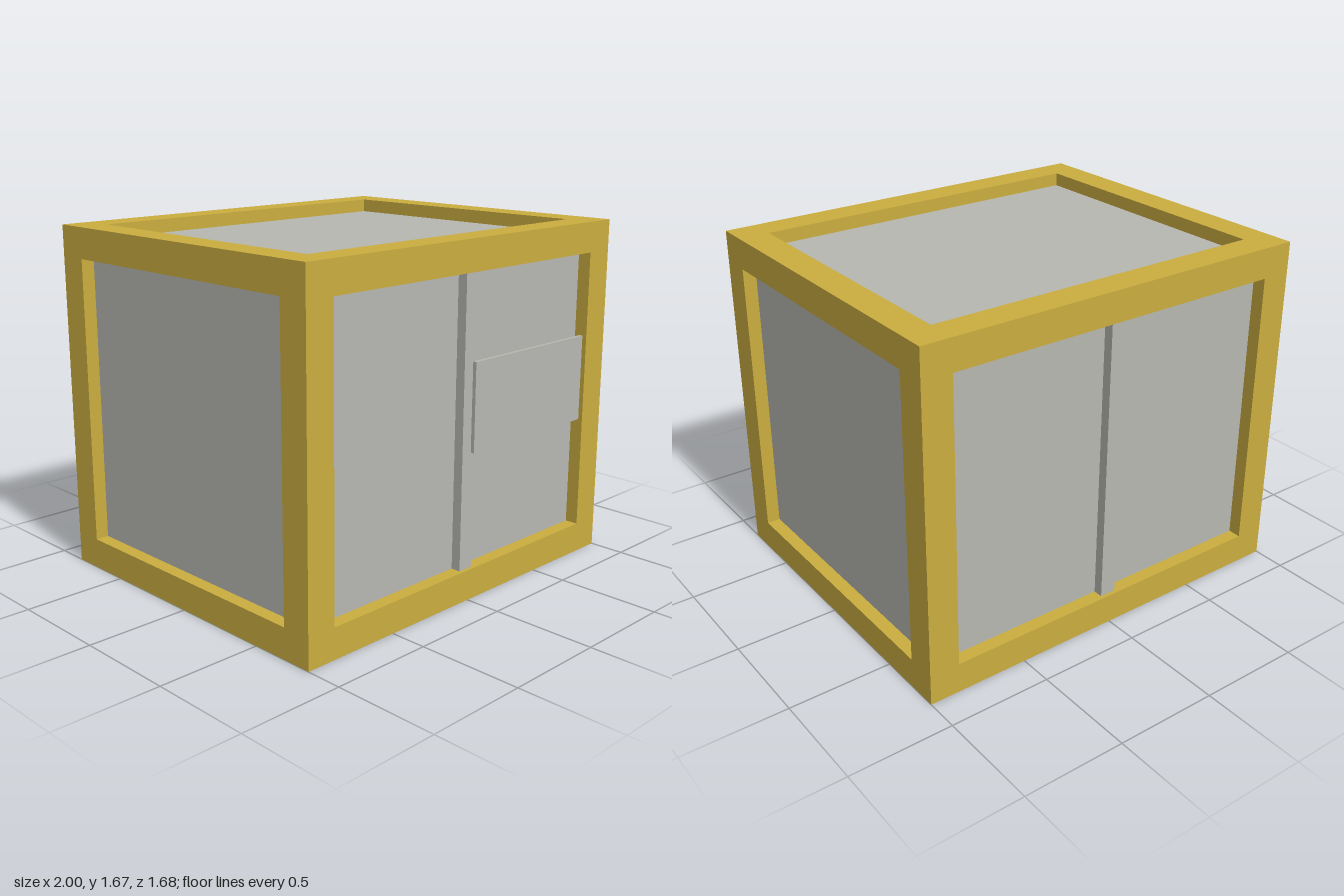
import * as THREE from 'three';

const W = 2, H = 1.67, D = 1.664; // overall crate size
const BEAM = 0.147;               // beam thickness
const INSET = 0.065;              // panel recess behind the frame
const CZ = -0.007;                // crate centre in z

export function createModel() {
  const group = new THREE.Group();
  group.name = 'crate';

  const yellow = new THREE.MeshStandardMaterial({ color: 0xcaad40 });
  yellow.name = 'yellow frame';
  const grey = new THREE.MeshStandardMaterial({ color: 0xb7b7b2 });
  grey.name = 'grey panel';

  const box = (name, material, w, h, d, x, y, z) => {
    const mesh = new THREE.Mesh(new THREE.BoxGeometry(w, h, d), material);
    mesh.name = name;
    mesh.position.set(x, y, z);
    group.add(mesh);
  };

  // Recessed grey panels on all six sides
  box('panelBody', grey, W - 2 * INSET, H - 2 * INSET, D - 2 * INSET, 0, H / 2, CZ);

  // Twelve beams: four posts, then the rails that fit between them
  const ox = (W - BEAM) / 2, oy = (H - BEAM) / 2, oz = (D - BEAM) / 2;
  for (const a of [-1, 1]) {
    for (const b of [-1, 1]) {
      box('cornerPost', yellow, BEAM, H, BEAM, a * ox, H / 2, CZ + b * oz);
      box('widthRail', yellow, W - 2 * BEAM, BEAM, BEAM, 0, H / 2 + a * oy, CZ + b * oz);
      box('depthRail', yellow, BEAM, BEAM, D - 2 * BEAM, a * ox, H / 2 + b * oy, CZ);
    }
  }

  // Vertical struts on the front and back panels
  for (const s of [-1, 1]) {
    box('strut', grey, 0.08, H - 2 * BEAM, 0.07, 0, H / 2, CZ + s * (D / 2 - 0.018 - 0.035));
  }

  // Blank plate mounted on the front strut
  box('frontPlate', grey, 0.8, 0.418, 0.018, 0.4, 0.919, 0.83);

  return group;
}
